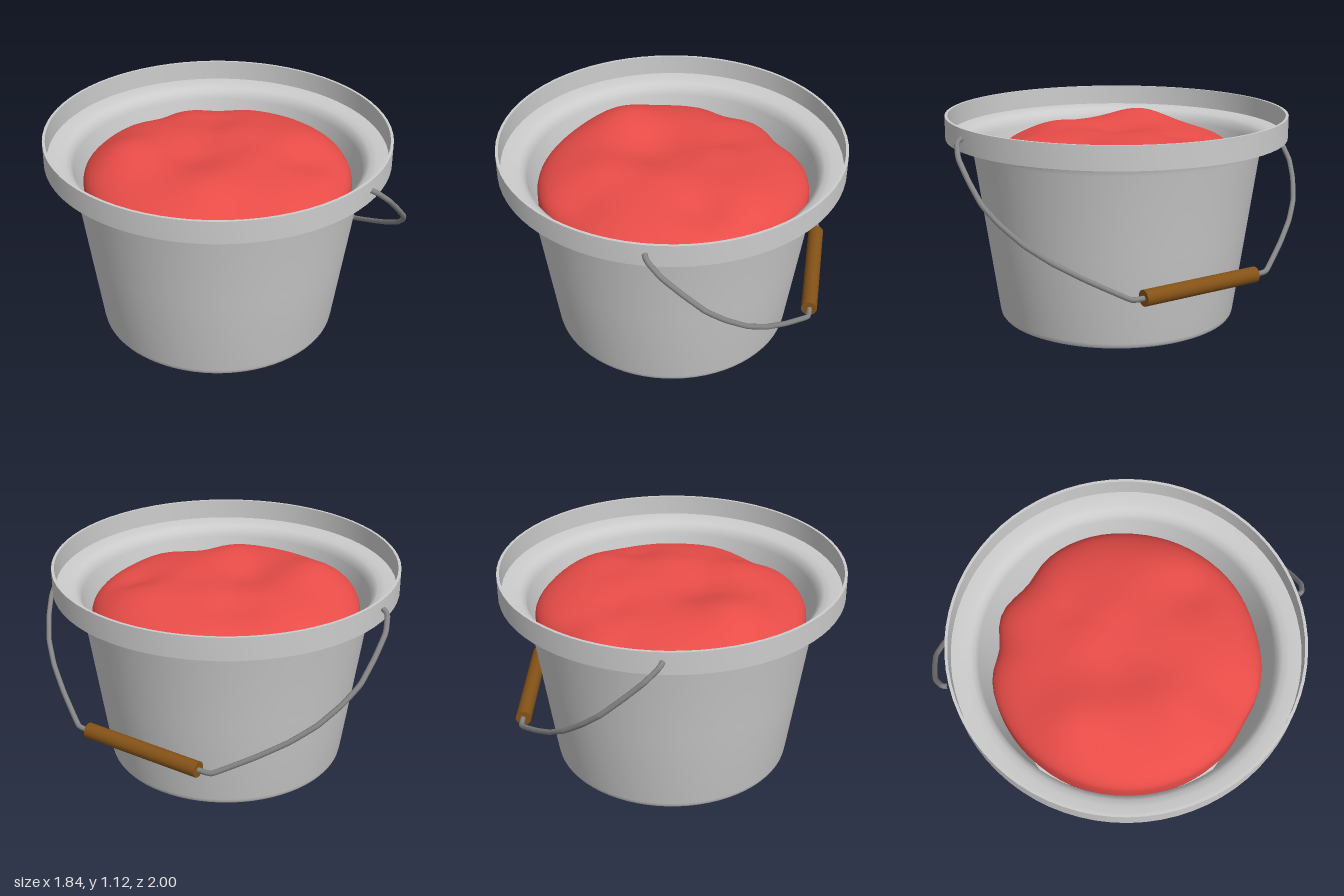
import * as THREE from 'three';
import { toCreasedNormals } from 'three/addons/utils/BufferGeometryUtils.js';

const grey = new THREE.MeshStandardMaterial({ color: 0xcccccc });
const darkGrey = new THREE.MeshStandardMaterial({ color: 0x858585 });
const red = new THREE.MeshStandardMaterial({ color: 0xe84c48 });
const brown = new THREE.MeshStandardMaterial({ color: 0x845217 });

function add(parent, name, geometry, material) {
  const mesh = new THREE.Mesh(geometry, material);
  mesh.name = name;
  parent.add(mesh);
  return mesh;
}

const toPoints = (list) => list.map(([x, y]) => new THREE.Vector2(x, y));

// Bucket: one closed profile, up the outside, over the rim and down the inside
function bucketGeometry() {
  const profile = toPoints([
    [0, 0], [0.61, 0], [0.626, 0.002], [0.638, 0.008], [0.645, 0.018], [0.649, 0.035],
    [0.715, 0.5], [0.777, 0.94], [0.783, 0.97], [0.79, 0.985], [0.803, 0.994], [0.825, 0.998],
    [0.919, 0.998], [0.919, 1.12], [0.904, 1.12], [0.902, 1.012],
    [0.84, 1.008], [0.805, 0.998], [0.782, 0.98], [0.768, 0.94],
    [0.705, 0.5], [0.635, 0.03], [0, 0.02],
  ]);
  return toCreasedNormals(new THREE.LatheGeometry(profile, 72), 0.7);
}

// Lumps and hollows on the filling: [x, z, height, width]
const lumps = [
  [-0.33, -0.37, 0.065, 0.2], [0.42, 0.28, 0.03, 0.2], [-0.35, 0.18, 0.025, 0.16],
  [0.2, -0.02, 0.015, 0.14], [0, 0.2, 0.015, 0.15], [-0.1, -0.06, -0.04, 0.16],
  [0.28, -0.25, -0.02, 0.14], [0.22, 0.42, -0.035, 0.13], [-0.4, 0.45, -0.03, 0.16],
];

// Dents and bulges of its outline: [angle, share of the radius, width]
const dents = [[-1.22, -0.065, 0.18], [-0.64, -0.06, 0.2], [2.35, -0.025, 0.18], [0, 0.02, 0.35], [1.6, -0.02, 0.3]];

// Filling: a rounded mound, displaced by the lumps and dents
function fillingGeometry() {
  const profile = [[0.69, 0.6], [0.705, 0.66], [0.72, 0.75], [0.72, 0.82]];
  for (let i = 0; i <= 24; i++) {
    const a = (i / 24) * Math.PI / 2;
    profile.push([0.72 * Math.pow(Math.cos(a), 0.6), 0.84 + 0.18 * Math.sin(a)]);
  }
  profile[profile.length - 1][0] = 0;
  const geometry = new THREE.LatheGeometry(toPoints(profile), 72);
  const pos = geometry.attributes.position;
  for (let i = 0; i < pos.count; i++) {
    const x = pos.getX(i), y = pos.getY(i), z = pos.getZ(i);
    const angle = Math.atan2(z, x);
    let k = 1, lift = 0;
    for (const [c, d, w] of dents) k += d * Math.exp(-((angle - c) ** 2) / (w * w));
    for (const [cx, cz, h, w] of lumps) {
      lift += h * Math.exp(-((x - cx) ** 2 + (z - cz) ** 2) / (w * w));
    }
    const fade = THREE.MathUtils.smoothstep(y, 0.75, 0.9);
    pos.setXYZ(i, x * k, y + lift * fade, z * k);
  }
  return toCreasedNormals(geometry, 1.2);
}

// Bail wire: half given as (x, z), mirrored, lying in a tilted plane
function wireGeometry() {
  const half = [
    [0.015, 0.925], [0.03, 0.957], [0.1, 0.985], [0.2, 0.982], [0.31, 0.966],
    [0.4, 0.918], [0.5, 0.84], [0.59, 0.735], [0.68, 0.6], [0.785, 0.42], [0.79, 0.34],
  ];
  const at = (x, z) => new THREE.Vector3(x, 1.075 - (x - 0.012) * 0.928, z);
  const points = half.map(([x, z]) => at(x, z));
  points.push(...half.slice().reverse().map(([x, z]) => at(x, -z)));
  const curve = new THREE.CatmullRomCurve3(points, false, 'catmullrom', 0.15);
  return new THREE.TubeGeometry(curve, 140, 0.014, 10);
}

export function createModel() {
  const model = new THREE.Group();
  model.name = 'bucket';
  add(model, 'bucketBody', bucketGeometry(), grey);
  add(model, 'filling', fillingGeometry(), red);

  const handle = new THREE.Group();
  handle.name = 'handle';
  model.add(handle);
  add(handle, 'handleWire', wireGeometry(), darkGrey);

  // Wooden grip around the lowest stretch of wire
  const grip = add(handle, 'handleGrip', new THREE.CylinderGeometry(0.042, 0.042, 0.69, 24), brown);
  grip.rotation.x = Math.PI / 2;
  grip.position.set(0.788, 0.353, 0.004);
  return model;
}
